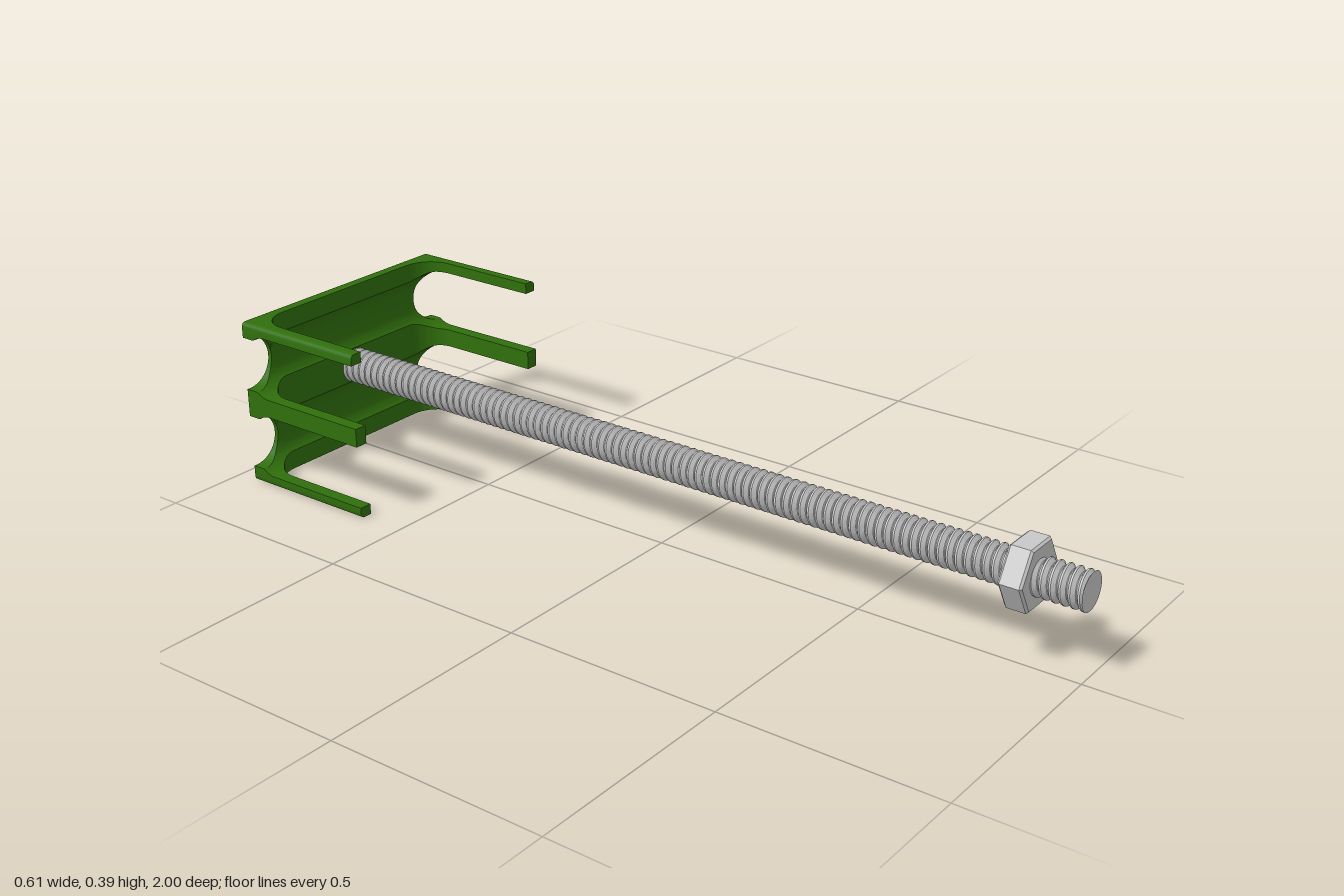
import * as THREE from 'three';
import { toCreasedNormals } from 'three/addons/utils/BufferGeometryUtils.js';

const green = new THREE.MeshStandardMaterial({ color: 0x306f0c });
green.name = 'green paint';
const steel = new THREE.MeshStandardMaterial({ color: 0xc8c8c8 });
steel.name = 'light steel';

// Bracket dimensions
const BACK = -0.948, FLOOR = -0.937, RIDGE = -0.924, TIP = -0.607;
const HALF_W = 0.305, ARM_X = 0.275, ARM_FILLET = 0.07;
const CHANNEL_FILLET = 0.055, CHANNEL_HALF = 0.074;
const NOTCH_X = 0.2975, NOTCH_R = 0.0625, CORNER = 0.01;

function buildGeometry(positions, indices, crease) {
  const g = new THREE.BufferGeometry();
  g.setAttribute('position', new THREE.Float32BufferAttribute(positions, 3));
  g.setIndex(indices);
  return toCreasedNormals(g, crease);
}

// Rib height across the width: flat ridge, rounded into the arms
function ribHeight(x) {
  if (x > ARM_X) return TIP;
  const u = Math.max(0, x - (ARM_X - ARM_FILLET));
  return RIDGE + ARM_FILLET - Math.sqrt(Math.max(0, ARM_FILLET ** 2 - u * u));
}

// Channel surface at distance d from the rib wall, and its inverse
function channelZ(d) {
  const u = Math.max(0, CHANNEL_FILLET - d);
  return FLOOR + CHANNEL_FILLET - Math.sqrt(Math.max(0, CHANNEL_FILLET ** 2 - u * u));
}
function channelDistance(z) {
  const u = Math.max(0, FLOOR + CHANNEL_FILLET - z);
  return CHANNEL_FILLET - Math.sqrt(Math.max(0, CHANNEL_FILLET ** 2 - u * u));
}

// Stations across the width, mirrored about the middle
function makeStations() {
  const xs = [HALF_W, 0.304, 0.302, 0.299, 0.295];
  for (let i = 0; i <= 12; i++) {
    xs.push(NOTCH_X - NOTCH_R * Math.cos((i / 12) * Math.PI / 2));
  }
  for (let i = 0; i <= 10; i++) {
    xs.push(ARM_X - ARM_FILLET + ARM_FILLET * Math.sin((i / 10) * Math.PI / 2));
  }
  const half = xs.map((x) => ({ x, h: ribHeight(Math.min(x, x > ARM_X + 1e-6 ? x : ARM_X)) }));
  half.push({ x: ARM_X, h: TIP });
  half.sort((a, b) => a.x - b.x || a.h - b.h);
  return [...half.map((s) => ({ x: -s.x, h: s.h })).reverse(), ...half];
}

// One rail: rib, its two arms and its share of the channels beside it
function makeRail(lo, hi, loFlat, hiFlat) {
  const positions = [], indices = [], samples = 10, n = samples + 3;
  const stations = makeStations();
  for (const { x, h } of stations) {
    const ax = Math.abs(x);
    const nx = Math.min(0, ax - NOTCH_X);
    const notch = Math.sqrt(Math.max(0, NOTCH_R ** 2 - nx * nx));
    const edge = channelDistance(h);
    const end = Math.max(edge, CHANNEL_HALF - notch);
    const cx = Math.max(0, ax - (HALF_W - CORNER));
    const corner = CORNER - Math.sqrt(Math.max(0, CORNER ** 2 - cx * cx));
    const levels = [[end, BACK]];
    for (let i = samples; i >= 0; i--) {
      const d = edge + (end - edge) * (i / samples) ** 2;
      levels.push([d, Math.min(h, channelZ(d))]);
    }
    levels.push([edge, h]);
    for (const [d, z] of levels) positions.push(x, loFlat ? lo + corner : lo - d, z);
    for (const [d, z] of levels.reverse()) positions.push(x, hiFlat ? hi - corner : hi + d, z);
  }
  const m = 2 * n;
  for (let i = 0; i < stations.length - 1; i++) {
    for (let j = 0; j < m; j++) {
      const a = i * m + j, b = i * m + (j + 1) % m;
      indices.push(a, a + m, b, b, a + m, b + m);
    }
  }
  // End faces
  const last = (stations.length - 1) * m;
  for (let k = 0; k < n - 1; k++) {
    const l = k, u = m - 1 - k;
    indices.push(last + l, last + u, last + l + 1, last + u, last + u - 1, last + l + 1);
    indices.push(l, l + 1, u, u, l + 1, u - 1);
  }
  return buildGeometry(positions, indices, 0.5);
}

// Helical thread along z, cut flat at both ends
function makeThread(z0, z1, pitch, root, crest) {
  const profile = [[0, root], [0.1, root], [0.45, crest], [0.65, crest], [1, root]];
  const seg = 24, positions = [], indices = [], m = profile.length;
  const steps = Math.ceil((z1 - z0) / pitch + 1) * seg;
  for (let s = 0; s <= steps; s++) {
    const a = (s / seg) * Math.PI * 2;
    for (const [t, r] of profile) {
      const z = z0 + pitch * (s / seg - 1 + t);
      positions.push(r * Math.cos(a), r * Math.sin(a), Math.min(z1, Math.max(z0, z)));
    }
  }
  for (let s = 0; s < steps; s++) {
    for (let j = 0; j < m - 1; j++) {
      const a = s * m + j;
      indices.push(a, a + m, a + 1, a + 1, a + m, a + m + 1);
    }
  }
  return buildGeometry(positions, indices, 0.5);
}

// Hexagonal block with chamfered rims, axis along z
function makeHex(radius, depth) {
  const h = depth / 2, c = 0.005;
  const profile = [[0, -h], [radius - c, -h], [radius, -h + c], [radius, h - c], [radius - c, h], [0, h]]
    .map(([x, y]) => new THREE.Vector2(x, y));
  const g = new THREE.LatheGeometry(profile, 6, Math.PI / 2).toNonIndexed();
  g.rotateX(Math.PI / 2);
  g.computeVertexNormals();
  return g;
}

export function createModel() {
  const model = new THREE.Group();
  const add = (parent, name, geometry, material, z = 0) => {
    const mesh = new THREE.Mesh(geometry, material);
    mesh.name = name;
    mesh.position.z = z;
    parent.add(mesh);
    return mesh;
  };

  // Clamp bracket of three rails
  const bracket = new THREE.Group();
  bracket.name = 'bracket';
  add(bracket, 'bottomRail', makeRail(0, 0.025, true, false), green);
  add(bracket, 'middleRail', makeRail(0.173, 0.216, false, false), green);
  add(bracket, 'topRail', makeRail(0.364, 0.389, false, true), green);
  model.add(bracket);

  // Long bolt with head and nut
  const bolt = new THREE.Group();
  bolt.name = 'bolt';
  bolt.position.set(0.011, 0.1945, 0);
  const z0 = -0.95, z1 = 0.998, root = 0.033;
  const core = new THREE.CylinderGeometry(root, root, z1 - z0, 24).rotateX(Math.PI / 2);
  add(bolt, 'rodCore', core, steel, (z0 + z1) / 2);
  add(bolt, 'rodThread', makeThread(z0, z1, 0.02, root, 0.042), steel);
  add(bolt, 'boltHead', makeHex(0.078, 0.052), steel, -0.974);
  add(bolt, 'nut', makeHex(0.078, 0.052), steel, 0.865);
  model.add(bolt);

  return model;
}
